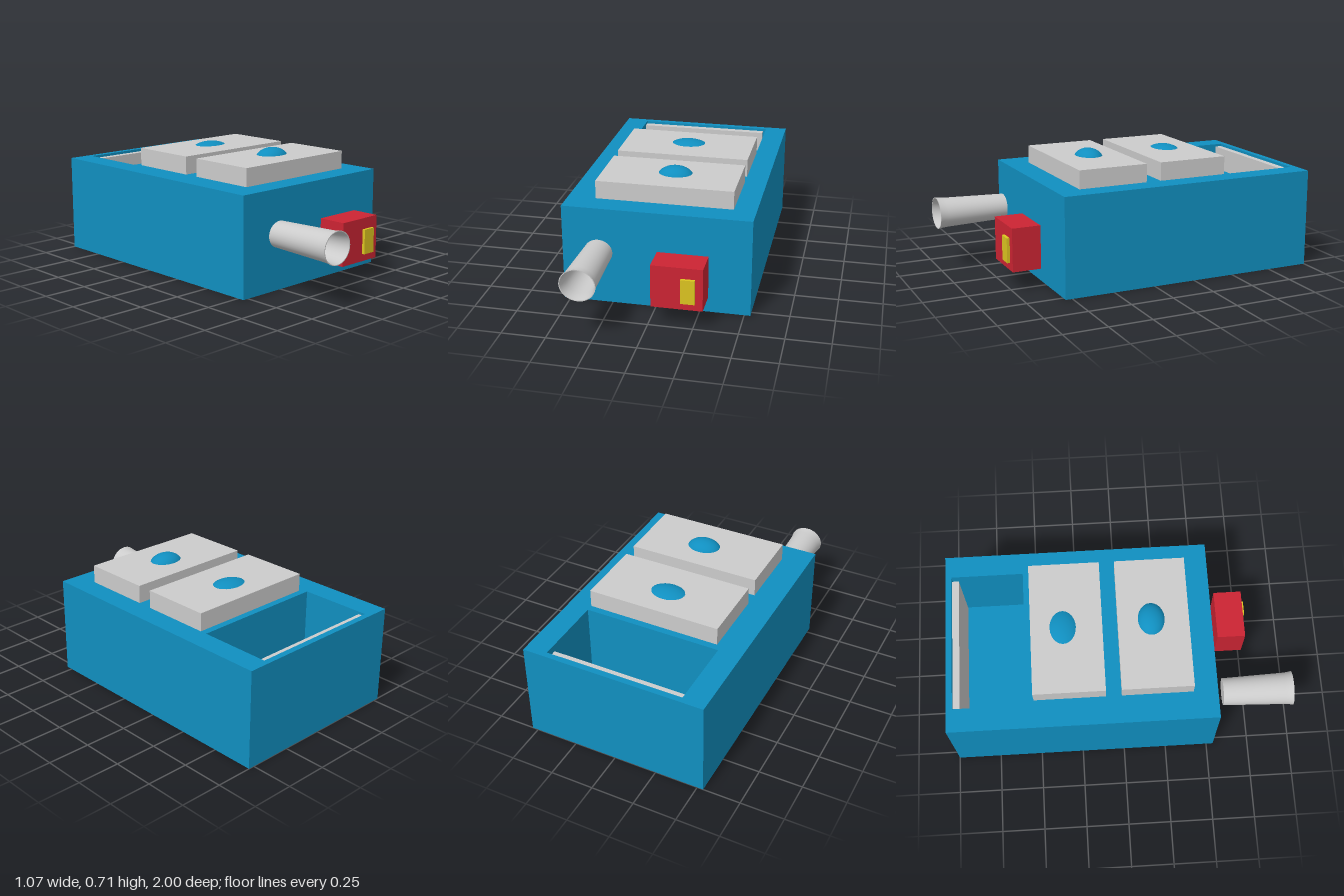
import * as THREE from 'three';

const material = (color, side = THREE.FrontSide) => new THREE.MeshStandardMaterial({ color, side });
const blue = material(0x108fc0);
const grey = material(0xcccccc);
const red = material(0xcc2433);
const yellow = material(0xdcc420);

export function createModel() {
  const model = new THREE.Group();

  const add = (name, geometry, mat, x = 0, y = 0, z = 0) => {
    const mesh = new THREE.Mesh(geometry, mat);
    mesh.name = name;
    mesh.position.set(x, y, z);
    model.add(mesh);
    return mesh;
  };

  // Box given by its limits on each axis
  const block = (name, mat, [x0, x1], [y0, y1], [z0, z1]) =>
    add(name, new THREE.BoxGeometry(x1 - x0, y1 - y0, z1 - z0), mat,
      (x0 + x1) / 2, (y0 + y1) / 2, (z0 + z1) / 2);

  // Rectangle in plan, drawn with shape y = -z
  const rectangle = (path, x0, x1, z0, z1) => {
    path.moveTo(x0, -z1);
    path.lineTo(x1, -z1);
    path.lineTo(x1, -z0);
    path.lineTo(x0, -z0);
    path.closePath();
    return path;
  };

  // Body: solid base and walls around an open rear compartment
  const floorY = 0.1, topY = 0.57;
  block('bodyBase', blue, [-0.535, 0.535], [0, floorY], [-1, 0.54]);
  const plan = rectangle(new THREE.Shape(), -0.535, 0.535, -1, 0.54);
  plan.holes.push(rectangle(new THREE.Path(), -0.4, 0.407, -0.965, -0.545));
  const walls = new THREE.ExtrudeGeometry(plan, { depth: topY - floorY, bevelEnabled: false });
  walls.rotateX(-Math.PI / 2);
  add('bodyWalls', walls, blue, 0, floorY, 0);

  // Cover standing on edge inside the open compartment
  block('standingCover', grey, [-0.4, 0.387], [0.14, 0.555], [-0.963, -0.923]);

  // Two covers lying on top, each with a domed knob
  const covers = [
    { name: 'front', z: [-0.007, 0.4], knob: [0.038, 0.645, 0.185], size: [0.108, 0.07, 0.085] },
    { name: 'rear', z: [-0.505, -0.095], knob: [0.015, 0.625, -0.32], size: [0.143, 0.07, 0.107] },
  ];
  for (const { name, z, knob, size } of covers) {
    block(name + 'Cover', grey, [-0.375, 0.408], [topY, 0.675], z);
    const dome = new THREE.SphereGeometry(1, 24, 16).scale(...size);
    add(name + 'Knob', dome, blue, ...knob);
  }

  // Tapered tube, open towards the front with a flared lip
  const profile = [
    [0, 0], [0.08, 0], [0.093, 0.36], [0.096, 0.39], [0.1, 0.41],
    [0.095, 0.41], [0.089, 0.38], [0.085, 0.34], [0.072, 0.015], [0, 0.015],
  ].map(([r, h]) => new THREE.Vector2(r, h));
  // Each straight run is turned separately so the rims stay sharp
  const runs = { tubeBack: [0, 2], tubeOutside: [1, 5], tubeRim: [4, 6], tubeInside: [5, 9], tubeFloor: [8, 10] };
  const tubeMaterial = material(0xcccccc, THREE.DoubleSide);
  for (const [name, [from, to]] of Object.entries(runs)) {
    const run = new THREE.LatheGeometry(profile.slice(from, to), 40);
    run.rotateX(Math.PI / 2).scale(1, 0.92, 1);
    add(name, run, tubeMaterial, -0.313, 0.333, 0.59);
  }

  // Switch box with a raised button
  block('switchBox', red, [0.018, 0.305], [0.117, 0.365], [0.59, 0.755]);
  block('switchButton', yellow, [0.184, 0.263], [0.16, 0.302], [0.75, 0.772]);

  return model;
}
